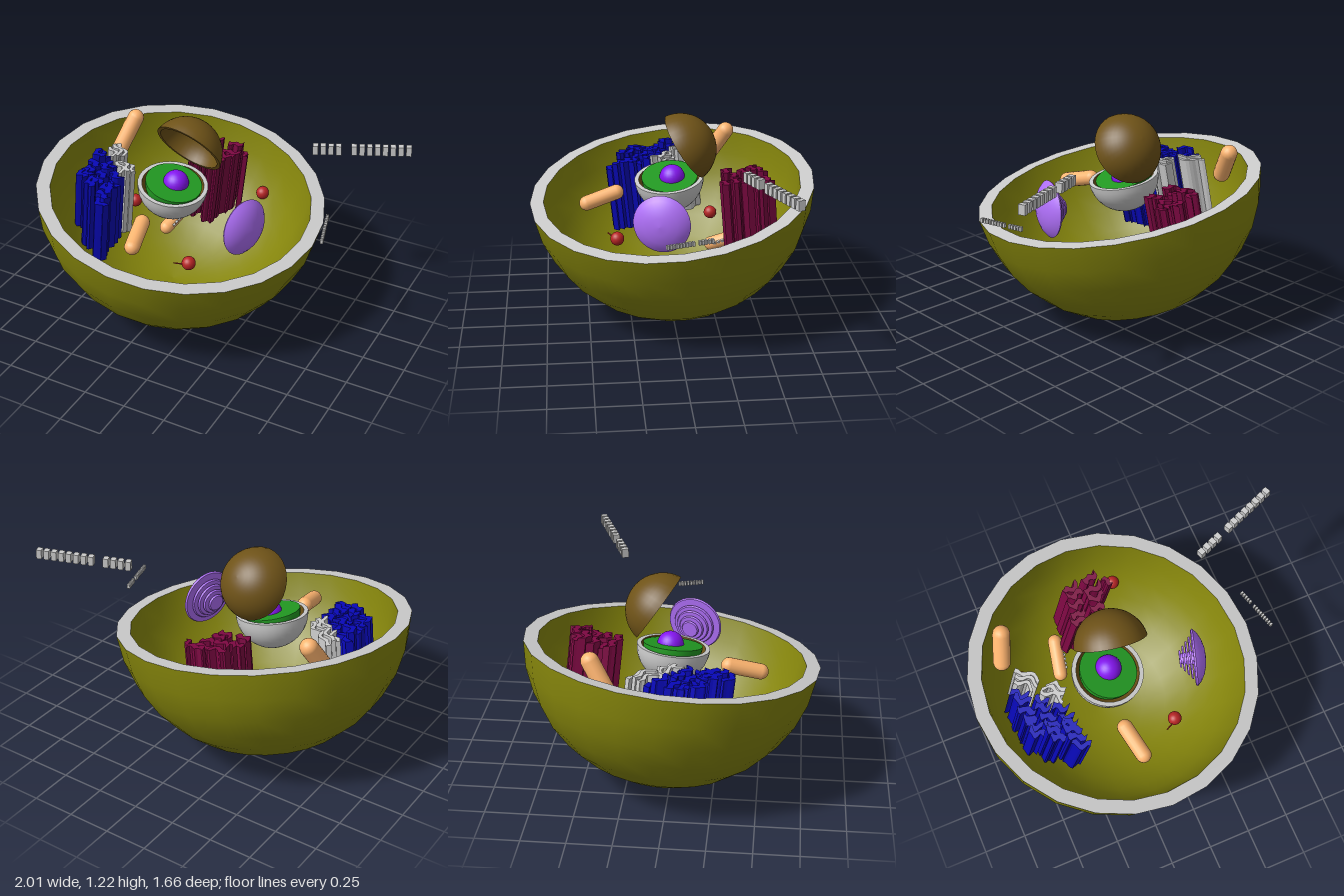
import * as THREE from 'three';

const GREY = 0xcccccc, OLIVE = 0x86860c, BROWN = 0x6f5318, LILAC = 0xb070fa, RED = 0xb82525;
const BLUE = 0x0808b8, MAROON = 0x7d0842;
const UP = new THREE.Vector3(0, 1, 0);
const TILT = [0.155, 1, 0.1];

const mat = (color, extra = {}) => new THREE.MeshStandardMaterial({ color, ...extra });

function add(parent, name, geometry, color, extra) {
  const mesh = new THREE.Mesh(geometry, mat(color, extra));
  mesh.name = name;
  parent.add(mesh);
  return mesh;
}

// Points on an arc from the bottom pole up to height y = -drop
function arc(radius, drop, steps) {
  const end = Math.acos(drop / radius), pts = [];
  for (let i = 0; i <= steps; i++) {
    const a = end * i / steps;
    pts.push(new THREE.Vector2(radius * Math.sin(a), -radius * Math.cos(a)));
  }
  return pts;
}

// Hollow (or, with inner = 0, solid) half sphere opening along an axis
function halfSphere(name, centre, axis, { outer, inner, drop = 0, segments = 32, steps = 12, colors }) {
  const group = new THREE.Group();
  group.name = name;
  const out = arc(outer, drop, steps);
  const ins = inner ? arc(inner, drop, steps).reverse() : [new THREE.Vector2(0, -drop)];
  add(group, name + 'Outside', new THREE.LatheGeometry(out, segments), colors[0]);
  add(group, name + 'Rim', new THREE.LatheGeometry([out[steps], ins[0]], segments), colors[1]);
  if (inner) add(group, name + 'Inside', new THREE.LatheGeometry(ins, segments), colors[2]);
  group.position.set(...centre);
  group.quaternion.setFromUnitVectors(UP, new THREE.Vector3(...axis).normalize());
  return group;
}

// Capsule between two end centres
function capsule(name, from, to, radius) {
  const a = new THREE.Vector3(...from), b = new THREE.Vector3(...to);
  const group = new THREE.Group();
  group.name = name;
  const mesh = add(group, name + 'Body', new THREE.CapsuleGeometry(radius, a.distanceTo(b), 6, 16), 0xffb570);
  mesh.quaternion.setFromUnitVectors(UP, b.clone().sub(a).normalize());
  mesh.position.copy(a).add(b).multiplyScalar(0.5);
  return group;
}

const rimHeight = (x, z) => 0.785 - 0.155 * (x + 0.175) - 0.1 * z;
const floorHeight = (x, z) => 0.83 - Math.sqrt(Math.max(0, 0.75 ** 2 - (x + 0.175) ** 2 - z * z));

function seeded(seed) {
  return () => (seed = (seed * 16807) % 2147483647) / 2147483647;
}

// Wavy sheet with its top edge from a to b (x, z), leaning with the bowl's axis down to the floor
function sheet(parent, name, a, b, { width, wave, bow, phase, lift, color }) {
  const left = [], right = [], n = 8;
  const dx = b[0] - a[0], dz = b[1] - a[1], len = Math.hypot(dx, dz);
  const nx = -dz / len, nz = dx / len;
  let bottom = 0.37;
  for (let i = 0; i <= n; i++) {
    const t = i / n;
    const off = bow * Math.sin(Math.PI * t) + wave * Math.sin(t * 9 + phase);
    const w = width * (0.45 + 0.35 * Math.abs(Math.sin(t * 7 + phase)));
    const x = a[0] + dx * t + nx * off, z = a[1] + dz * t + nz * off;
    left.push(new THREE.Vector2(x + nx * w, -z - nz * w));
    right.unshift(new THREE.Vector2(x - nx * w, -z + nz * w));
    bottom = Math.max(bottom, floorHeight(x - 0.06, z - 0.04));
  }
  const top = rimHeight((a[0] + b[0]) / 2, (a[1] + b[1]) / 2) + lift;
  const depth = Math.max(0.06, top - bottom);
  const geometry = new THREE.ExtrudeGeometry(new THREE.Shape([...left, ...right]), { depth, bevelEnabled: false });
  geometry.rotateX(-Math.PI / 2).translate(0, -depth, 0);
  geometry.applyMatrix4(new THREE.Matrix4().set(1, TILT[0], 0, 0, 0, 1, 0, top, 0, TILT[2], 1, 0, 0, 0, 0, 1));
  add(parent, name, geometry, color, { side: THREE.DoubleSide, flatShading: true });
}

// A stack of sheets, each broken into pieces, stepping from the first line to the last
function sheetStack(name, first, last, count, pieces, seed, style) {
  const group = new THREE.Group(), rnd = seeded(seed);
  group.name = name;
  const mix = (p, q, t) => [p[0] + (q[0] - p[0]) * t, p[1] + (q[1] - p[1]) * t];
  for (let i = 0; i < count; i++) {
    const t = i / (count - 1);
    const a = mix(first[0], last[0], t), b = mix(first[1], last[1], t);
    for (let j = 0; j < pieces; j++) {
      const s = (j + 0.2 * rnd()) / pieces, e = (j + 0.78 + 0.2 * rnd()) / pieces;
      sheet(group, name + 'Sheet', mix(a, b, s), mix(a, b, e),
        { ...style, phase: rnd() * 6, lift: (rnd() - 0.5) * 0.05 });
    }
  }
  return group;
}

// Row of small plain blocks standing in a line between two points
function blockRow(name, from, to, count, height, skip) {
  const a = new THREE.Vector3(...from), b = new THREE.Vector3(...to);
  const group = new THREE.Group(), step = a.distanceTo(b) / count;
  group.name = name;
  for (let i = 0; i < count; i++) {
    if (i === skip) continue;
    const block = add(group, name + 'Block', new THREE.BoxGeometry(step * 0.7, height, height * 0.7), GREY);
    block.position.set((i + 0.5) * step, 0, 0);
  }
  group.position.copy(a);
  group.quaternion.setFromUnitVectors(new THREE.Vector3(1, 0, 0), b.sub(a).normalize());
  return group;
}

export function createModel() {
  const model = new THREE.Group();
  model.name = 'cellModel';

  // Large tilted bowl
  model.add(halfSphere('membraneBowl', [-0.17, 0.835, 0.003], TILT,
    { outer: 0.838, inner: 0.759, drop: 0.058, segments: 24, steps: 8, colors: [OLIVE, GREY, OLIVE] }));

  // Nucleus: lower shell, green core, inner ball and raised cap
  model.add(halfSphere('nucleusShell', [-0.23, 0.82, 0.008], TILT,
    { outer: 0.205, inner: 0.18, colors: [GREY, GREY, BROWN] }));
  model.add(halfSphere('nucleusCore', [-0.225, 0.828, 0.005], [0.26, 1, 0.08],
    { outer: 0.166, inner: 0, colors: [0x229922, 0x229922] }));
  add(model, 'nucleolus', new THREE.SphereGeometry(0.075, 24, 16), 0x8515f0).position.set(-0.22, 0.822, -0.01);
  model.add(halfSphere('nucleusCap', [-0.177, 1.007, -0.055], [-0.14, -0.56, 0.83],
    { outer: 0.21, inner: 0.19, drop: 0.03, colors: [BROWN, BROWN, BROWN] }));

  // Orange capsules, the one on the floor with small grey folds along its side
  model.add(capsule('backCapsule', [-0.705, 0.95, -0.385], [-0.755, 0.79, -0.29], 0.05));
  model.add(capsule('floorCapsule', [-0.4, 0.37, -0.45], [-0.44, 0.3, -0.27], 0.042));
  model.add(blockRow('capsuleFolds', [-0.372, 0.365, -0.42], [-0.405, 0.31, -0.28], 6, 0.03));
  model.add(capsule('frontCapsule', [-0.22, 0.675, 0.495], [-0.258, 0.725, 0.32], 0.045));

  // Folded sheets standing in the bowl
  model.add(sheetStack('blueFolds', [[-0.77, -0.09], [-0.5, 0.14]], [[-0.78, 0.15], [-0.47, 0.36]], 6, 3, 11,
    { width: 0.028, wave: 0.012, bow: 0.015, color: BLUE }));
  model.add(sheetStack('greyFolds', [[-0.72, -0.18], [-0.47, 0.05]], [[-0.75, -0.13], [-0.51, 0.1]], 3, 2, 5,
    { width: 0.018, wave: 0.012, bow: -0.02, color: GREY }));
  model.add(sheetStack('maroonFolds', [[-0.28, -0.53], [-0.04, -0.58]], [[-0.31, -0.35], [-0.08, -0.32]], 5, 2, 23,
    { width: 0.028, wave: 0.012, bow: 0.015, color: MAROON }));
  sheet(model, 'maroonSideSheet', [-0.03, -0.54], [-0.01, -0.48],
    { width: 0.018, wave: 0.005, bow: 0, phase: 1, lift: 0, color: MAROON });

  // Lilac dome with a stack of shrinking discs behind it
  const stack = new THREE.Group();
  stack.name = 'discStack';
  const dome = [[0.165, 0], [0.14, 0.024], [0.1, 0.045], [0.05, 0.059], [0, 0.063]].map(p => new THREE.Vector2(...p));
  add(stack, 'dome', new THREE.LatheGeometry(dome, 32), LILAC);
  for (let i = 0; i < 5; i++) {
    const r = i === 0 ? 0.165 : 0.148 - 0.024 * i;
    const disc = add(stack, 'disc', new THREE.CylinderGeometry(r, r - 0.006, 0.01, 32), LILAC);
    disc.position.y = -0.005 - 0.02 * i;
  }
  add(stack, 'discCore', new THREE.CylinderGeometry(0.04, 0.03, 0.08, 16), LILAC).position.y = -0.045;
  stack.position.set(0.272, 0.72, 0.09);
  stack.quaternion.setFromUnitVectors(UP, new THREE.Vector3(0.95, 0.05, 0.3).normalize());
  model.add(stack);

  // Red balls, one with a short tail
  for (const [x, y, z] of [[0.05, 0.5, -0.62], [-0.67, 0.42, -0.29], [0.045, 0.55, 0.33]])
    add(model, 'redBall', new THREE.SphereGeometry(0.04, 20, 14), RED).position.set(x, y, z);
  const tail = new THREE.LineCurve3(new THREE.Vector3(0.03, 0.55, 0.35), new THREE.Vector3(-0.025, 0.56, 0.38));
  add(model, 'redTail', new THREE.TubeGeometry(tail, 1, 0.004, 6), RED);

  // Plain marker rows floating beside the bowl
  model.add(blockRow('upperMarker', [0.475, 1.06, -0.345], [1.0, 1.08, -0.555], 13, 0.055, 4));
  model.add(blockRow('sideMarker', [0.67, 0.775, -0.155], [0.745, 0.775, 0.105], 15, 0.025, 5));
  return model;
}
